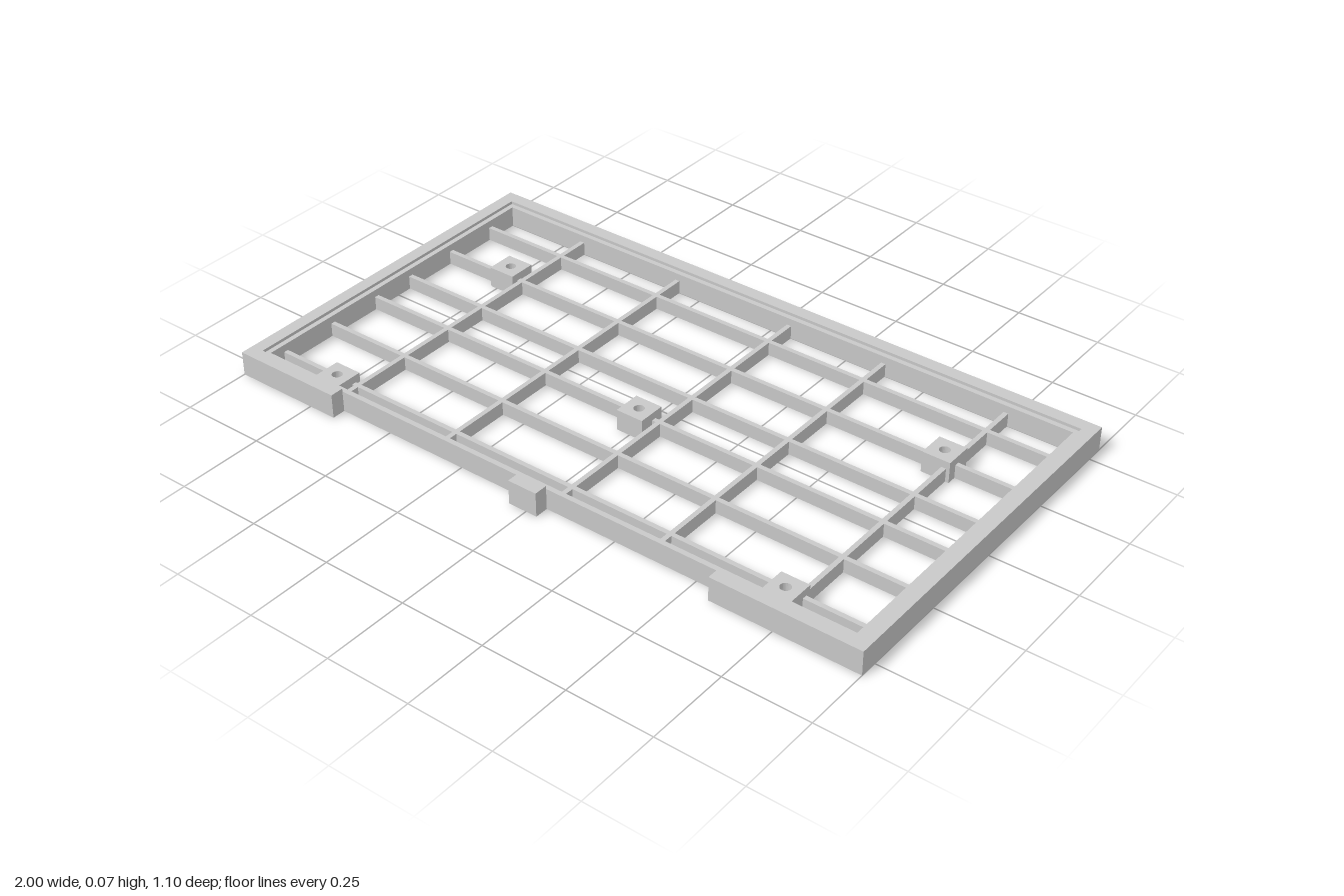
import * as THREE from 'three';

const H = 0.071;      // rim height
const LIP = 0.062;    // inner lip and pad height
const BAR = 0.04;     // grid bar height
const T = 0.014;      // grid bar thickness
const PAD = 0.083;    // pad side length

export function createModel() {
  const group = new THREE.Group();
  const grey = new THREE.MeshStandardMaterial({ color: 0xc8c8c8 });
  grey.name = 'grey plastic';

  const add = (geometry, name) => {
    const mesh = new THREE.Mesh(geometry, grey);
    mesh.name = name;
    group.add(mesh);
    return mesh;
  };
  // Box given by its x, y and z ranges
  const box = (name, x0, x1, y0, y1, z0, z1) => {
    const mesh = add(new THREE.BoxGeometry(x1 - x0, y1 - y0, z1 - z0), name);
    mesh.position.set((x0 + x1) / 2, (y0 + y1) / 2, (z0 + z1) / 2);
  };
  // Counter-clockwise plan outline of (x, z) points, raised from the ground
  const plan = (points) => points.map(([x, z]) => new THREE.Vector2(x, -z)).reverse();
  const raise = (shape, height) =>
    new THREE.ExtrudeGeometry(shape, { depth: height, bevelEnabled: false, curveSegments: 12 })
      .rotateX(-Math.PI / 2);
  const rect = (x0, x1, z0, z1) => plan([[x0, z0], [x1, z0], [x1, z1], [x0, z1]]);

  // Outer rim, open along most of the front
  const rim = new THREE.Shape(plan([
    [-1, -0.552], [1, -0.552], [1, 0.552], [0.565, 0.552], [0.565, 0.512], [0.962, 0.512],
    [0.962, -0.513], [-0.962, -0.513], [-0.962, 0.512], [-0.665, 0.512], [-0.665, 0.552], [-1, 0.552],
  ]));
  add(raise(rim, H), 'outerRim');
  box('frontTab', -0.055, 0.034, 0, H, 0.512, 0.552);

  // Lower lip inside the rim
  const lip = new THREE.Shape(rect(-0.962, 0.962, -0.513, 0.512));
  lip.holes.push(new THREE.Path(rect(-0.947, 0.947, -0.498, 0.497)));
  add(raise(lip, LIP), 'innerLip');

  // Mounting pads with a hole through each
  const pads = [[-0.73, -0.24], [0.727, -0.233], [0, 0.096], [-0.733, 0.462], [0.723, 0.462]];
  const h = PAD / 2;
  const padShape = new THREE.Shape(rect(-h, h, -h, h));
  padShape.holes.push(new THREE.Path().absarc(0, 0, 0.015, 0, Math.PI * 2, true));
  const padGeometry = raise(padShape, LIP);
  for (const [x, z] of pads) add(padGeometry, 'mountingPad').position.set(x, 0, z);

  // Bars from front to back
  for (const x of [-0.678, -0.328, 0.06, 0.37, 0.751]) {
    box('lengthBar', x - T / 2, x + T / 2, 0, BAR, -0.498, 0.497);
  }

  // Bars from side to side, interrupted by the pads they meet
  for (const z of [-0.399, -0.226, -0.053, 0.087, 0.262, 0.443]) {
    let start = -0.947;
    const met = pads.filter((p) => Math.abs(p[1] - z) < h).sort((a, b) => a[0] - b[0]);
    for (const [x] of met) {
      box('crossBar', start, x - h, 0, BAR, z - T / 2, z + T / 2);
      start = x + h;
    }
    box('crossBar', start, 0.947, 0, BAR, z - T / 2, z + T / 2);
  }
  return group;
}
